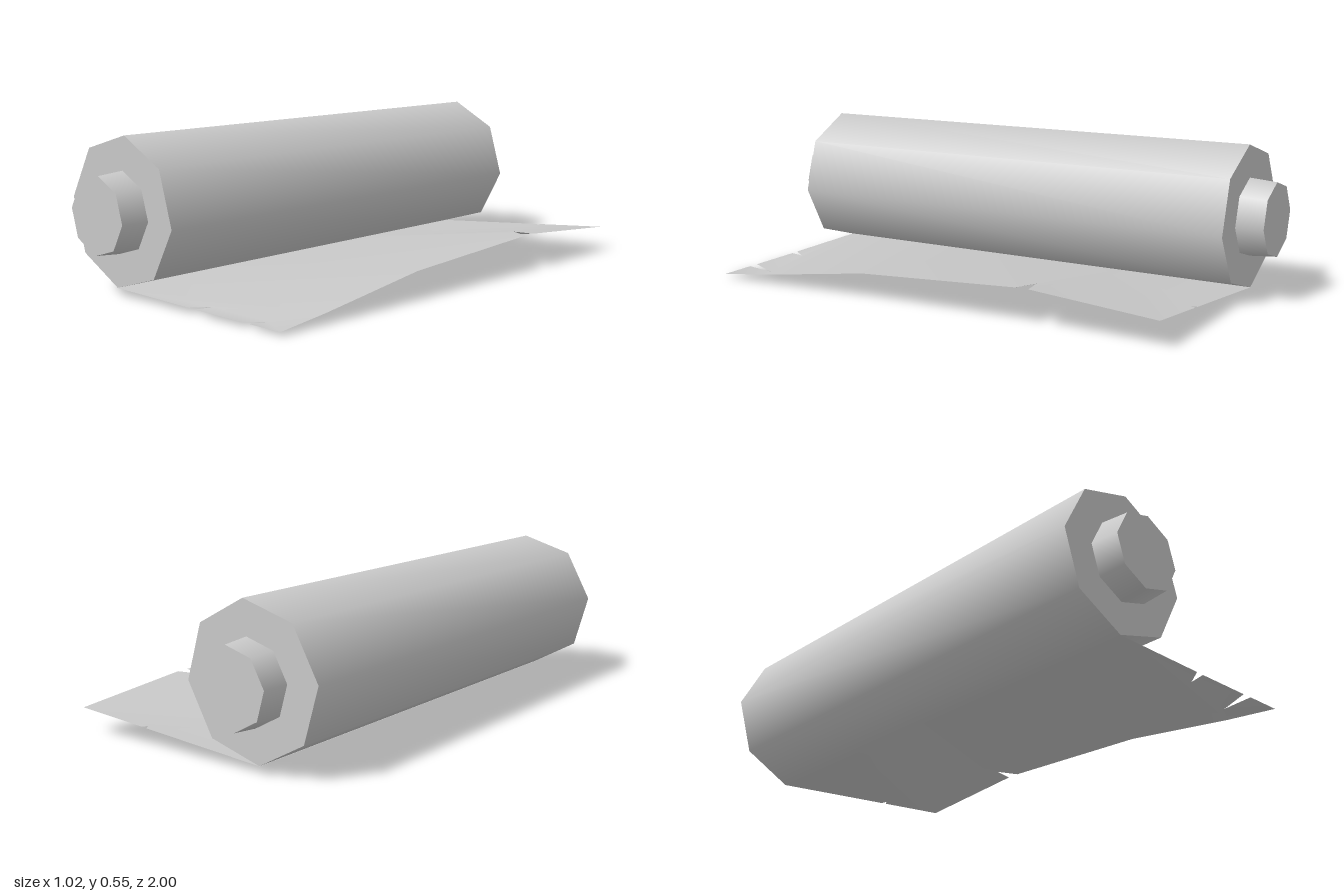
import * as THREE from 'three';
import { mergeVertices } from 'three/addons/utils/BufferGeometryUtils.js';

const AXIS_X = -0.25, AXIS_Y = 0.291, TWIST = -0.108;

// Eight-sided bar lying along z, with smooth sides and flat ends
function bar(name, material, rFront, rBack, length, z) {
  const geometry = new THREE.CylinderGeometry(rFront, rBack, length, 8);
  geometry.rotateX(Math.PI / 2).rotateZ(TWIST);
  const mesh = new THREE.Mesh(geometry, material);
  mesh.name = name;
  mesh.position.set(AXIS_X, AXIS_Y, z);
  return mesh;
}

// Unrolled sheet: strips of [x, height, z] outlines, front edge first, torn notches included
function sheetGeometry() {
  const left = -0.28, right = 0.51, base = 0.027;
  const L = z => [left, base, z];
  const at = (x, y, z) => [x, y, z];
  const e70 = at(right, 0.035, 0.7), e25 = at(right, 0.097, 0.25);
  const e38 = at(right, 0.13, -0.38), e43 = at(right, 0.13, -0.43);
  const strips = [
    [L(0.9), at(0.09, 0.019, 0.9), at(0.135, 0.018, 0.84), at(0.12, 0.018, 0.9),
      at(0.335, 0.015, 0.9), at(0.358, 0, 0.8), at(0.373, 0.015, 0.9),
      at(right, 0.013, 0.9), e70, L(0.7)],
    [L(0.7), e70, e25, L(0.25)],
    [L(0.25), e25, e38, L(-0.38)],
    [L(-0.38), e38, at(0.43, 0.13, -0.415), e43, L(-0.43)],
    [L(-0.43), e43, at(right, 0.093, -0.9), at(0.232, 0.07, -0.9),
      at(0.22, 0.07, -0.88), at(0.21, 0.068, -0.9), L(-0.9)],
  ];
  const positions = [];
  for (const strip of strips) {
    const outline = strip.map(([x, , z]) => new THREE.Vector2(x, -z));
    for (const face of THREE.ShapeUtils.triangulateShape(outline, [])) {
      for (const i of face) positions.push(...strip[i]);
    }
  }
  const geometry = new THREE.BufferGeometry();
  geometry.setAttribute('position', new THREE.Float32BufferAttribute(positions, 3));
  const smooth = mergeVertices(geometry);
  smooth.computeVertexNormals();
  return smooth;
}

export function createModel() {
  const group = new THREE.Group();
  group.name = 'scroll';
  const paper = new THREE.MeshStandardMaterial({ color: 0xc8c8c8 });
  paper.name = 'pale grey';
  paper.side = THREE.DoubleSide;

  // Rolled part and the tapered rod ends
  group.add(bar('roll', paper, 0.265, 0.265, 1.8, 0));
  group.add(bar('frontRodEnd', paper, 0.137, 0.145, 0.1, 0.95));
  group.add(bar('backRodEnd', paper, 0.145, 0.137, 0.1, -0.95));

  // Loose sheet with torn edges
  const sheet = new THREE.Mesh(sheetGeometry(), paper);
  sheet.name = 'sheet';
  group.add(sheet);
  return group;
}
